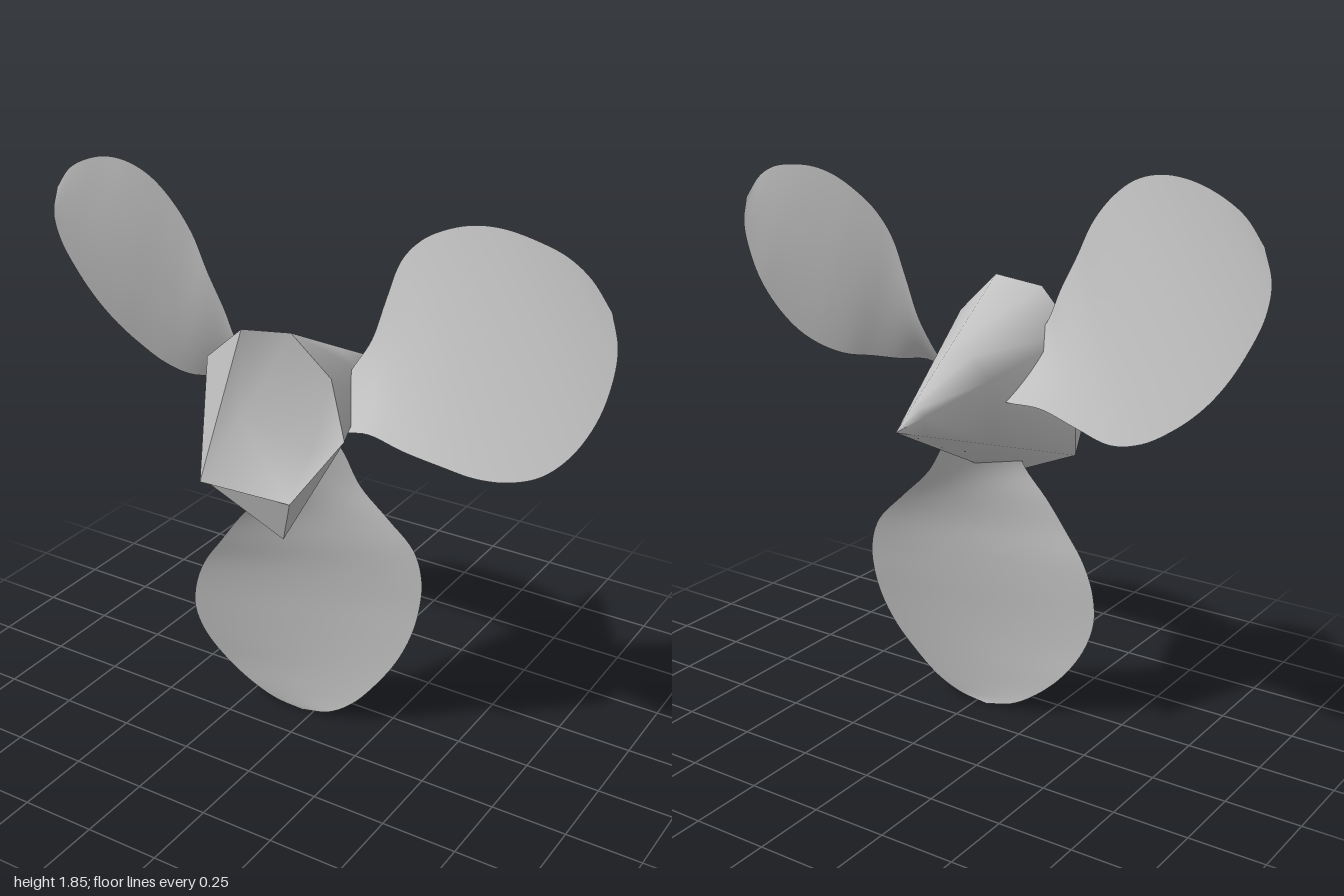
import * as THREE from 'three';

const metal = new THREE.MeshStandardMaterial({ color: 0xc0c0c0, side: THREE.DoubleSide });
metal.name = 'grey metal';

function makeMesh(name, points, index, flat = false) {
  let geo = new THREE.BufferGeometry();
  geo.setAttribute('position', new THREE.Float32BufferAttribute(points.flat(), 3));
  geo.setIndex(index.flat());
  if (flat) geo = geo.toNonIndexed();
  geo.computeVertexNormals();
  const mesh = new THREE.Mesh(geo, metal);
  mesh.name = name;
  return mesh;
}

// Irregular hub rim, clockwise from the upper right-hand corner
const rim = [
  [-0.27, 1.31, 0.28], [-0.12, 1.44, 0.31], [0.05, 1.46, 0.3], [0.17, 1.33, 0.27],
  [0.24, 1.16, 0.31], [0.02, 0.77, 0.31], [-0.26, 0.89, 0.31],
];
const apex = [-0.05, 1.115, -0.39];

// Pointed rear cone, lofted from the apex to the rim
function createCone() {
  const n = rim.length, levels = [0.002, 0.15, 0.5, 1], points = [], index = [];
  for (const t of levels) {
    for (const p of rim) points.push(p.map((v, k) => apex[k] + (v - apex[k]) * t));
  }
  for (let r = 0; r < levels.length - 1; r++) {
    for (let i = 0; i < n; i++) {
      const a = r * n + i, b = r * n + (i + 1) % n;
      index.push([a, b, a + n], [b, b + n, a + n]);
    }
  }
  return makeMesh('hubCone', points, index);
}

// Front of the hub: flat chamfers around a smooth hollow
function createHubFront() {
  const points = [...rim,
    [0.1, 0.95, 0.395], [-0.23, 0.94, 0.395],   // 7, 8: front lip
    [-0.14, 1.14, 0.29], [0.1, 1.08, 0.27],     // 9, 10: bottom of the hollow
  ];
  const chamfers = [[0, 6, 8], [0, 8, 1], [6, 5, 7], [6, 7, 8], [5, 4, 7]];
  const hollow = [[4, 10, 7], [7, 10, 9], [7, 9, 8], [8, 9, 1], [9, 2, 1],
    [9, 10, 2], [10, 3, 2], [10, 4, 3]];
  return [makeMesh('hubChamfers', points, chamfers, true), makeMesh('hubHollow', points, hollow)];
}

// Blade chords from root to tip: y, left x, left z, right x, right z
const chords = [
  [1.0, -0.06, 0.18, 0.03, 0.02],
  [0.95, -0.09, 0.2, 0.06, 0.01],
  [0.85, -0.12, 0.22, 0.115, 0.005],
  [0.75, -0.2, 0.232, 0.21, -0.01],
  [0.65, -0.27, 0.24, 0.3, -0.025],
  [0.55, -0.34, 0.24, 0.333, -0.022],
  [0.45, -0.38, 0.238, 0.333, -0.01],
  [0.35, -0.392, 0.23, 0.315, 0.01],
  [0.25, -0.367, 0.21, 0.275, 0.035],
  [0.15, -0.305, 0.18, 0.21, 0.065],
  [0.07, -0.22, 0.155, 0.14, 0.09],
  [0.02, -0.135, 0.135, 0.06, 0.11],
  [0.0, -0.04, 0.12, -0.04, 0.12],
];

// Twisted sheet ruled between the two blade edges
function createBlade(cx, cy) {
  const left = new THREE.CatmullRomCurve3(chords.map(c => new THREE.Vector3(c[1], c[0], c[2])));
  const right = new THREE.CatmullRomCurve3(chords.map(c => new THREE.Vector3(c[3], c[0], c[4])));
  const rows = 60, cols = 12, points = [], index = [];
  for (let i = 0; i <= rows; i++) {
    const a = left.getPoint(i / rows), b = right.getPoint(i / rows);
    for (let j = 0; j <= cols; j++) {
      const p = a.clone().lerp(b, j / cols);
      points.push([p.x - cx, p.y - cy, p.z]);
      if (i < rows && j < cols) {
        const k = i * (cols + 1) + j, m = k + cols + 1;
        index.push([k, m, k + 1], [k + 1, m, m + 1]);
      }
    }
  }
  return makeMesh('blade', points, index);
}

export function createModel() {
  const group = new THREE.Group();
  group.name = 'propeller';
  group.add(createCone(), ...createHubFront());

  // Three equal blades around the hub
  const cx = -0.014, cy = 1.114;
  const blade = createBlade(cx, cy);
  ['bottomBlade', 'leftBlade', 'rightBlade'].forEach((name, i) => {
    const copy = blade.clone();
    copy.name = name;
    copy.position.set(cx, cy, 0);
    copy.rotation.z = i * Math.PI * 2 / 3;
    group.add(copy);
  });
  return group;
}
